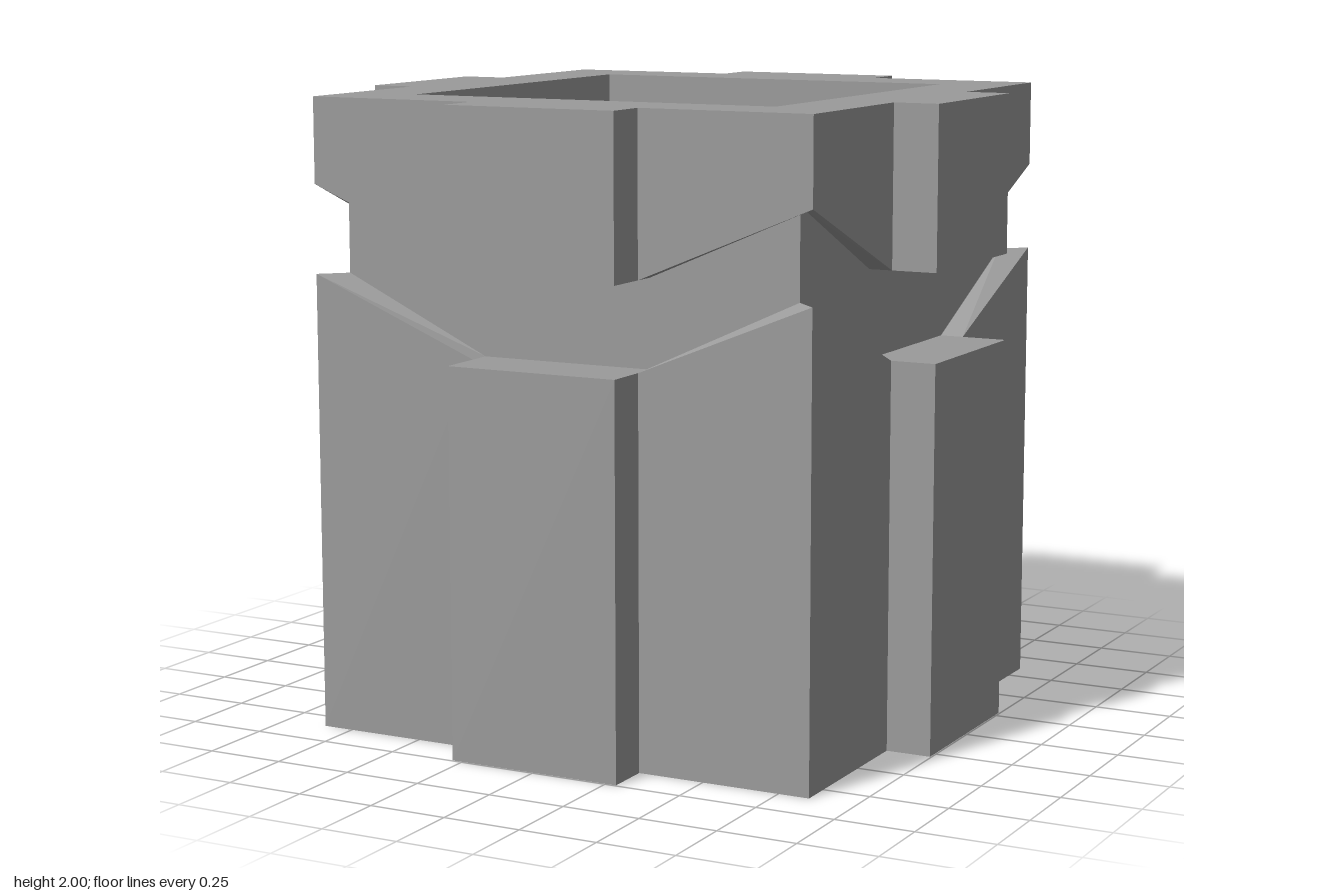
import * as THREE from 'three';

const HALF = 0.85, TAB = 0.285, TAB_OUT = 0.995, NECK = 0.775;
const WELL = 0.62, WELL_FLOOR = 0.36;
const RECESS = 0.61, RECESS_CEILING = 0.135;

// One horizontal loop of 20 points: four sides, each a corner followed by a tab.
function loop(half, tabOut, cornerY, tabY = cornerY) {
  const side = [
    [-half, cornerY, half],
    [-TAB, tabY, half], [-TAB, tabY, tabOut],
    [TAB, tabY, tabOut], [TAB, tabY, half],
  ];
  const points = [];
  for (let k = 0; k < 4; k++) {
    for (const p of side) {
      let [x, y, z] = p;
      for (let r = 0; r < k; r++) [x, z] = [z, -x];
      points.push(new THREE.Vector3(x, y, z));
    }
  }
  return points;
}

const outer = (cornerY, tabY) => loop(HALF, TAB_OUT, cornerY, tabY);
const square = (half, cornerY, tabY) => loop(half, half, cornerY, tabY);

// Skin consecutive loops with flat triangles, leaving out empty ones.
function loft(loops) {
  const positions = [];
  const triangle = new THREE.Triangle();
  const add = (a, b, c) => {
    if (triangle.set(a, b, c).getArea() < 1e-7) return;
    for (const p of [a, b, c]) positions.push(p.x, p.y, p.z);
  };
  for (let j = 0; j < loops.length - 1; j++) {
    const a = loops[j], b = loops[j + 1];
    for (let i = 0; i < a.length; i++) {
      const n = (i + 1) % a.length;
      add(a[i], a[n], b[n]);
      add(a[i], b[n], b[i]);
    }
  }
  const geometry = new THREE.BufferGeometry();
  geometry.setAttribute('position', new THREE.Float32BufferAttribute(positions, 3));
  geometry.computeVertexNormals();
  return geometry;
}

// Horizontal square facing up (1) or down (-1).
function panel(half, y, facing) {
  return new THREE.PlaneGeometry(half * 2, half * 2)
    .rotateX(-facing * Math.PI / 2)
    .translate(0, y, 0);
}

export function createModel() {
  const group = new THREE.Group();
  const material = new THREE.MeshStandardMaterial({ color: 0x9b9b9b, flatShading: true });
  const add = (name, geometry) => {
    const mesh = new THREE.Mesh(geometry, material);
    mesh.name = name;
    group.add(mesh);
  };

  // Lower block with base recess, tabs and a rim rising to each corner
  add('lowerBody', loft([
    square(RECESS, RECESS_CEILING), square(RECESS, 0),
    outer(0), outer(1.45, 1.22), square(NECK, 1.45, 1.22),
  ]));

  // Recessed band between the blocks
  add('neck', loft([square(NECK, 1.45, 1.22), square(NECK, 1.73, 1.495)]));

  // Upper collar, its flat rim and the walls of the square well
  add('collar', loft([
    square(NECK, 1.73, 1.495), outer(1.73, 1.495), outer(2),
    square(WELL, 2), square(WELL, WELL_FLOOR),
  ]));

  // Floor of the well and ceiling of the base recess
  add('wellFloor', panel(WELL, WELL_FLOOR, 1));
  add('recessCeiling', panel(RECESS, RECESS_CEILING, -1));

  return group;
}
